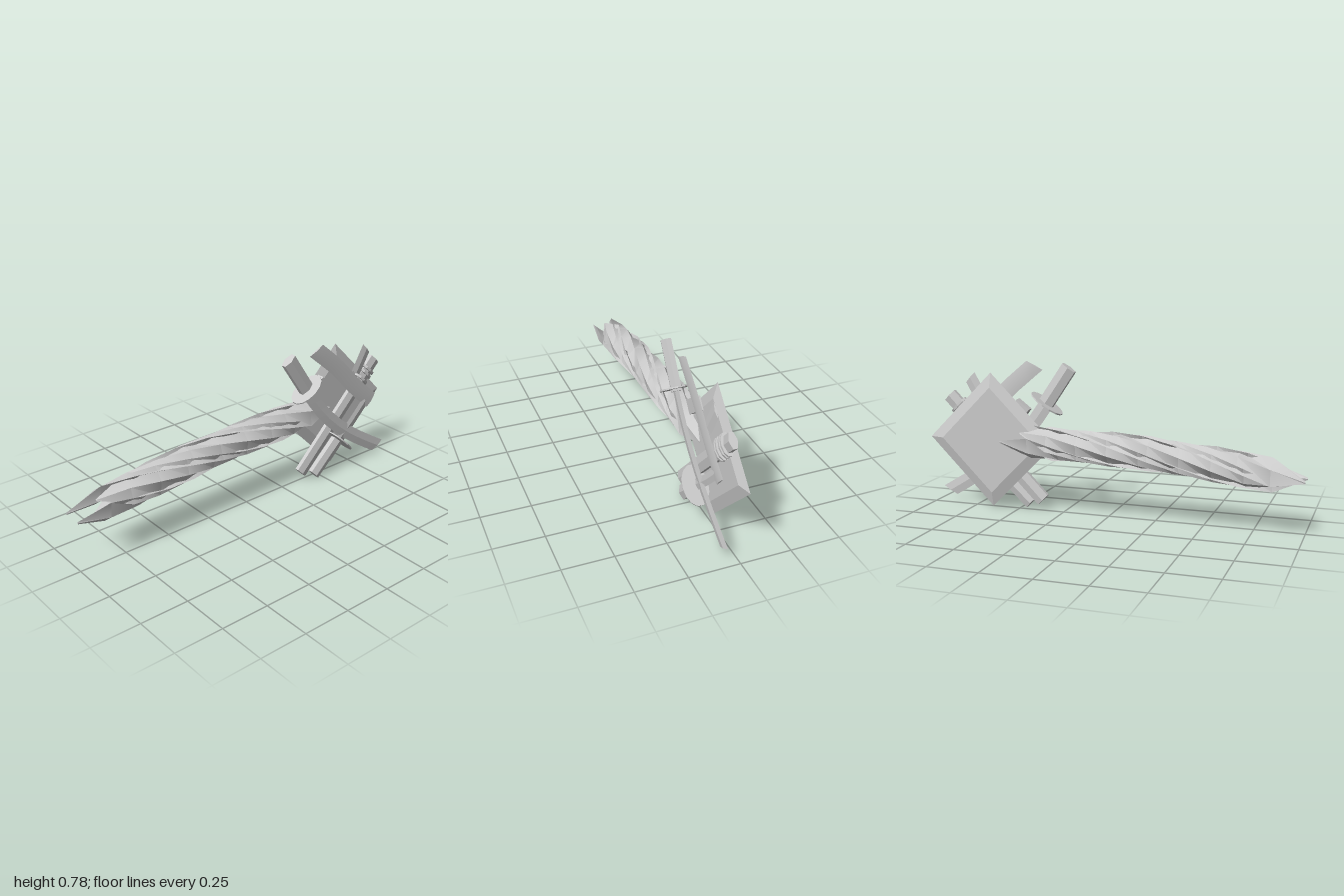
import * as THREE from 'three';
import { toCreasedNormals } from 'three/addons/utils/BufferGeometryUtils.js';

const V = (x, y, z = 0) => new THREE.Vector3(x, y, z);
const flat = new THREE.MeshStandardMaterial({ color: 0xcccccc, flatShading: true });
const thin = new THREE.MeshStandardMaterial({ color: 0xcccccc, side: THREE.DoubleSide });

// Skin a list of equal-sized closed cross-sections, capped at both ends
function loft(sections, crease) {
  const n = sections[0].length, index = [];
  const pos = sections.flat().flatMap((p) => [p.x, p.y, p.z]);
  for (let i = 0; i < sections.length - 1; i++) {
    for (let j = 0; j < n; j++) {
      const a = i * n + j, b = i * n + (j + 1) % n;
      index.push(a, b, a + n, b, b + n, a + n);
    }
  }
  const last = (sections.length - 1) * n;
  for (let j = 1; j < n - 1; j++) index.push(0, j + 1, j, last, last + j, last + j + 1);
  const g = new THREE.BufferGeometry();
  g.setAttribute('position', new THREE.Float32BufferAttribute(pos, 3));
  g.setIndex(index);
  return toCreasedNormals(g, crease);
}

export function createModel() {
  const model = new THREE.Group();
  const add = (name, geometry, material = flat, parent = model) => {
    const m = new THREE.Mesh(geometry, material);
    m.name = name;
    parent.add(m);
    return m;
  };

  // Bevelled square plate standing on one corner
  const profile = [[0, -0.02], [0.28, -0.02], [0.357, 0], [0.28, 0.02], [0, 0.02]];
  const plate = add('plate', new THREE.LatheGeometry(
    profile.map(([r, h]) => new THREE.Vector2(r, h)), 4).rotateX(Math.PI / 2));
  plate.position.set(0.64, 0.368, -0.03);

  // Round part lying along a to b, flattened in z
  function bar(name, a, b, r, z, sides, squash) {
    const d = V(b[0] - a[0], b[1] - a[1]);
    const g = new THREE.CylinderGeometry(r, r, d.length(), sides);
    g.rotateZ(Math.atan2(d.y, d.x) - Math.PI / 2).scale(1, 1, squash);
    const m = add(name, g);
    m.position.set((a[0] + b[0]) / 2, (a[1] + b[1]) / 2, z);
  }

  // Thin curved blade with a slanted tip
  function blade(name, points, half, z, slant = 0.022) {
    const curve = new THREE.CatmullRomCurve3(points.map(([x, y]) => V(x, y)));
    const steps = 8, sections = [];
    for (let i = 0; i <= steps; i++) {
      const p = curve.getPoint(i / steps), t = curve.getTangent(i / steps);
      const side = V(-t.y, t.x).multiplyScalar(half);
      const lean = i === steps ? slant : 0;
      sections.push([
        p.clone().add(side).addScaledVector(t, lean).setZ(z),
        p.clone().setZ(z + 0.006),
        p.clone().sub(side).addScaledVector(t, -lean).setZ(z),
        p.clone().setZ(z - 0.006),
      ]);
    }
    add(name, loft(sections, 0.3), thin);
  }

  // Long curved sword with round guard
  bar('longHandle', [0.232, 0.757], [0.37, 0.553], 0.046, 0.05, 6, 0.55);
  bar('longGuard', [0.358, 0.567], [0.362, 0.561], 0.1, 0.055, 14, 0.68);
  blade('longBlade', [[0.36, 0.565], [0.45, 0.44], [0.55, 0.33], [0.68, 0.22], [0.82, 0.125], [0.935, 0.055]],
    0.039, 0.052);

  // Second handle, guard and blade, the tip showing past the plate
  bar('shortHandle', [0.447, 0.028], [0.62, 0.19], 0.042, 0.038, 6, 0.62);
  bar('shortGuard', [0.618, 0.184], [0.623, 0.189], 0.1, 0.057, 14, 0.64);
  blade('shortBlade', [[0.62, 0.19], [0.72, 0.28], [0.81, 0.37]], 0.026, 0.05);
  blade('shortBladeTip', [[0.725, 0.56], [0.76, 0.62], [0.797, 0.685]], 0.036, 0.05, 0.012);

  // Third blade crossing the plate
  blade('crossBlade', [[0.86, 0.36], [0.73, 0.475], [0.58, 0.63], [0.425, 0.762]], 0.046, 0.05, 0.02);

  // Ringed rod running across the plate
  const lo = [0.37, 0.055], hi = [0.9, 0.59];
  const along = (t) => [lo[0] + (hi[0] - lo[0]) * t, lo[1] + (hi[1] - lo[1]) * t];
  bar('rod', lo, hi, 0.044, 0.015, 6, 0.48);
  for (const t of [0.775, 0.81, 0.86, 0.895]) bar('rodRing', along(t), along(t + 0.018), 0.056, 0.018, 10, 0.5);

  // Small block at the plate's upper edge
  const block = add('edgeBlock', new THREE.BoxGeometry(0.085, 0.07, 0.04));
  block.position.set(0.49, 0.535, 0.01);
  block.rotation.z = 0.65;

  // Twisted stalk: four broad strands winding round a bowed axis
  const axis = new THREE.CatmullRomCurve3([
    V(-1, 0.275), V(-0.8, 0.295), V(-0.5, 0.33), V(-0.2, 0.355), V(0.1, 0.367), V(0.35, 0.37), V(0.6, 0.38)]);
  const stalk = new THREE.Group();
  stalk.name = 'twistedStalk';
  model.add(stalk);
  const ends = [[-1, 0.46], [-0.88, 0.57], [-1, 0.47], [-0.87, 0.57]];
  ends.forEach(([x0, x1], k) => {
    const sections = [], steps = 9;
    for (let i = 0; i <= steps; i++) {
      const x = x0 + (x1 - x0) * i / steps;
      const c = axis.getPointAt((x + 1) / 1.6);
      const a = -1.54 + k * Math.PI / 2 + 2.9 * (x + 1);
      const w = i % steps ? 1 : 0.08;
      const out = V(0, Math.cos(a), Math.sin(a)), tan = V(0, -Math.sin(a), Math.cos(a));
      const p = V(x, c.y, -0.033).addScaledVector(out, 0.05);
      // Sharp-edged lens, ridged on both faces
      sections.push([[0.074, 0], [0, 0.033], [-0.074, 0], [0, -0.033]].map(
        ([u, v]) => p.clone().addScaledVector(tan, u * w).addScaledVector(out, v * w)));
    }
    add('strand', loft(sections, 0.5), thin, stalk);
  });

  return model;
}
